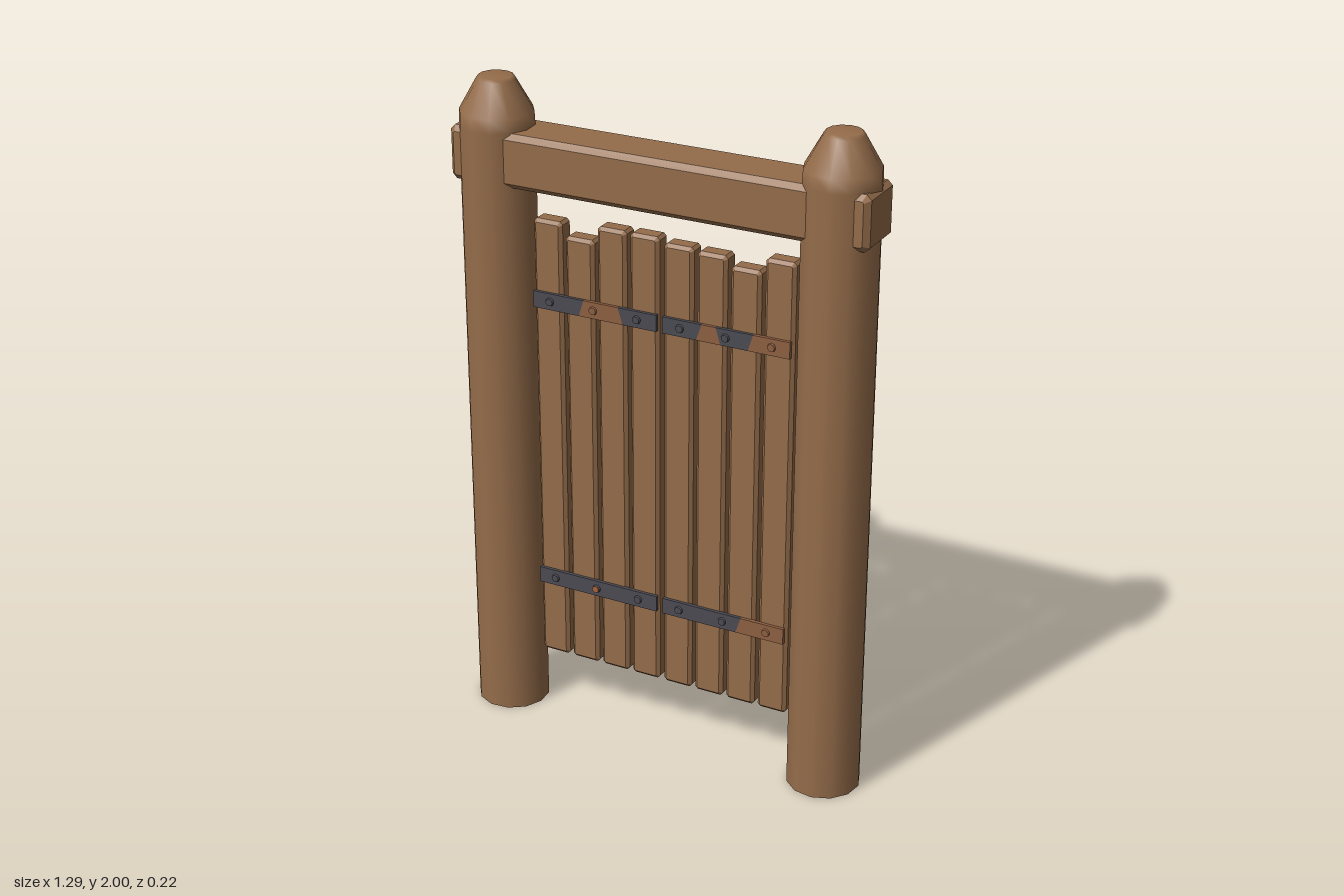
import * as THREE from 'three';

const mat = (name, color) => {
  const m = new THREE.MeshStandardMaterial({ color });
  m.name = name;
  return m;
};

export function createModel() {
  const wood = mat('wood', 0x946c4a);
  const iron = mat('iron', 0x4a4a52);
  const rust = mat('rust', 0x8e5f42);
  const brightRust = mat('brightRust', 0xa8623c);
  const gate = new THREE.Group();
  gate.name = 'gate';

  const add = (parent, name, geo, material, x = 0, y = 0, z = 0) => {
    const m = new THREE.Mesh(geo, material);
    m.name = name;
    m.position.set(x, y, z);
    parent.add(m);
    return m;
  };

  // Box with every edge chamfered by c
  const chamferBox = (w, h, d, c) => {
    const a = w / 2 - c, b = h / 2 - c, k = c * 0.3;
    const s = new THREE.Shape([
      [-a + k, -b], [a - k, -b], [a, -b + k], [a, b - k],
      [a - k, b], [-a + k, b], [-a, b - k], [-a, -b + k],
    ].map(([x, y]) => new THREE.Vector2(x, y)));
    const g = new THREE.ExtrudeGeometry(s, {
      depth: d - 2 * c, bevelEnabled: true, bevelThickness: c, bevelSize: c, bevelSegments: 1,
    });
    return g.translate(0, 0, c - d / 2);
  };

  // Round posts with blunt tapered tops
  const profile = [[0.11, 0], [0.11, 1.86], [0.108, 1.9], [0.057, 1.99], [0.05, 2], [0, 2]]
    .map(([x, y]) => new THREE.Vector2(x, y));
  for (const side of [-1, 1]) {
    const post = new THREE.Group();
    post.name = side > 0 ? 'leftPost' : 'rightPost';
    post.position.x = side * 0.533;
    post.rotation.y = side > 0 ? 0.1 : 0.35;
    add(post, 'postShaft', new THREE.LatheGeometry(profile, 12), wood);
    add(post, 'postBase', new THREE.CircleGeometry(0.11, 12).rotateX(Math.PI / 2), wood);
    gate.add(post);
  }

  // Cross beam passing through both posts
  add(gate, 'crossBeam', chamferBox(1.29, 0.16, 0.17, 0.016), wood, 0, 1.78, -0.003);

  // Two doors: planks, back rails and a diagonal brace each
  const tops = [1.602, 1.565, 1.612, 1.612, 1.6, 1.595, 1.57, 1.612];
  const bottom = 0.195;
  for (const side of [-1, 1]) {
    const door = new THREE.Group();
    door.name = side > 0 ? 'leftDoor' : 'rightDoor';
    const cx = side * 0.21;
    for (let i = 0; i < 4; i++) {
      const top = tops[(side > 0 ? 4 : 0) + i];
      add(door, 'plank', chamferBox(0.093, top - bottom, 0.06, 0.01), wood,
        cx + (i - 1.5) * 0.104, (top + bottom) / 2, -0.01);
    }
    for (const y of [1.43, 0.92, 0.415]) {
      add(door, 'backRail', chamferBox(0.29, 0.095, 0.06, 0.01), wood, cx, y, -0.065);
    }
    const dx = 0.28, dy = 0.39;
    const brace = add(door, 'diagonalBrace', chamferBox(Math.hypot(dx, dy), 0.05, 0.045, 0.008),
      wood, cx, 0.667, -0.0575);
    brace.rotation.z = Math.atan2(dy, dx);
    gate.add(door);
  }

  // Iron straps, split into slanted worn patches: [y, edges, materials, rivet x]
  const straps = [
    [1.36, [-0.41, -0.252, -0.125, -0.01], [iron, rust, iron], [-0.355, -0.213, -0.072]],
    [1.36, [0.01, 0.125, 0.185, 0.285, 0.405], [iron, rust, iron, rust], [0.065, 0.208, 0.35]],
    [0.46, [-0.41, -0.01], [iron], [-0.355, -0.213, -0.072]],
    [0.46, [0.01, 0.26, 0.405], [iron, rust], [0.065, 0.208, 0.35]],
  ];
  const h = 0.025;
  for (const [y, edges, mats, rivets] of straps) {
    const strap = new THREE.Group();
    strap.name = 'hingeStrap';
    const last = edges.length - 1;
    const lean = (i) => (i === 0 || i === last ? 0 : 0.008 * (i % 2 ? 1 : -1));
    mats.forEach((m, i) => {
      const [a, b, p, q] = [edges[i], edges[i + 1], lean(i), lean(i + 1)];
      const s = new THREE.Shape([[a - p, -h], [b - q, -h], [b + q, h], [a + p, h]]
        .map(([x, v]) => new THREE.Vector2(x, v)));
      add(strap, 'strapPatch', new THREE.ExtrudeGeometry(s, { depth: 0.012, bevelEnabled: false }),
        m, 0, y, 0.018);
    });
    // Rivet heads take the colour of the metal around them
    rivets.forEach((x) => {
      const i = edges.findIndex((e, k) => k < last && x >= e && x < edges[k + 1]);
      add(strap, 'rivet', new THREE.CylinderGeometry(0.011, 0.013, 0.006, 10).rotateX(Math.PI / 2),
        mats[i], x, y, 0.033);
    });
    gate.add(strap);
  }

  // Small bright rust spot on the lower strap
  add(gate, 'rustSpot', new THREE.CylinderGeometry(0.011, 0.011, 0.003, 6).rotateX(Math.PI / 2),
    brightRust, -0.213, 0.46, 0.0365);

  return gate;
}
